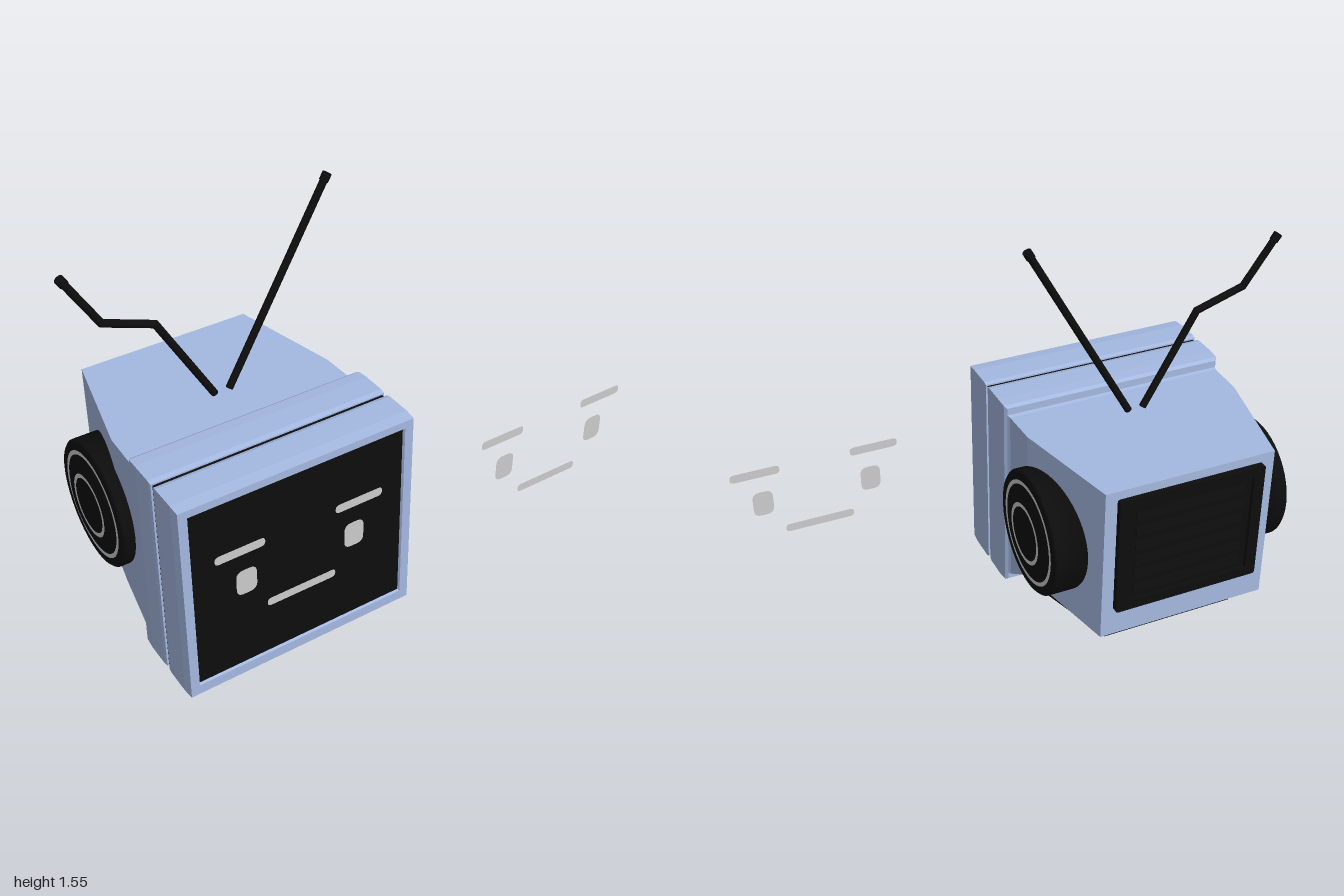
import * as THREE from 'three';

const blue = new THREE.MeshStandardMaterial({ color: 0xa4b8e0, flatShading: true });
const black = new THREE.MeshStandardMaterial({ color: 0x0d0d0d });
const grey = new THREE.MeshStandardMaterial({ color: 0xcccccc, side: THREE.DoubleSide });

function add(parent, name, geometry, material, x = 0, y = 0, z = 0) {
  const mesh = new THREE.Mesh(geometry, material);
  mesh.name = name;
  mesh.position.set(x, y, z);
  parent.add(mesh);
  return mesh;
}

// Joins rectangles [z, halfWidth, bottom, top], listed from back to front, and caps both ends
function loft(sections) {
  const rings = sections.map(([z, w, y0, y1]) => [[-w, y0, z], [w, y0, z], [w, y1, z], [-w, y1, z]]);
  const pos = [];
  const quad = (a, b, c, d) => pos.push(...a, ...b, ...c, ...a, ...c, ...d);
  for (let i = 0; i < rings.length - 1; i++) {
    for (let k = 0; k < 4; k++) {
      const n = (k + 1) % 4;
      quad(rings[i][k], rings[i][n], rings[i + 1][n], rings[i + 1][k]);
    }
  }
  const first = rings[0], last = rings[rings.length - 1];
  quad(first[3], first[2], first[1], first[0]);
  quad(last[0], last[1], last[2], last[3]);
  const geometry = new THREE.BufferGeometry();
  geometry.setAttribute('position', new THREE.Float32BufferAttribute(pos, 3));
  geometry.computeVertexNormals();
  return geometry;
}

function roundedRect(w, h, r, Type = THREE.Shape) {
  const s = new Type(), x = w / 2, y = h / 2;
  s.moveTo(-x + r, -y);
  s.lineTo(x - r, -y);
  s.quadraticCurveTo(x, -y, x, -y + r);
  s.lineTo(x, y - r);
  s.quadraticCurveTo(x, y, x - r, y);
  s.lineTo(-x + r, y);
  s.quadraticCurveTo(-x, y, -x, y - r);
  s.lineTo(-x, -y + r);
  s.quadraticCurveTo(-x, -y, -x + r, -y);
  return s;
}

// Flat brows, eyes and mouth
function makeFace(name) {
  const face = new THREE.Group();
  face.name = name;
  for (const side of [-1, 1]) {
    add(face, 'brow', new THREE.ShapeGeometry(roundedRect(0.193, 0.036, 0.017)), grey, side * 0.237, 0.563);
    add(face, 'eye', new THREE.ShapeGeometry(roundedRect(0.08, 0.107, 0.03)), grey, side * 0.217, 0.423);
  }
  add(face, 'mouth', new THREE.ShapeGeometry(roundedRect(0.278, 0.034, 0.016)), grey, 0, 0.28);
  return face;
}

// Round side speaker with its axis along +y, turned outwards by the caller
function makeSpeaker() {
  const speaker = new THREE.Group();
  speaker.name = 'speaker';
  const profile = [[0, 0.35], [0.243, 0.35], [0.243, 0.478], [0.234, 0.4875],
    [0.16, 0.4875], [0.157, 0.5], [0, 0.5]].map(([r, y]) => new THREE.Vector2(r, y));
  add(speaker, 'speakerHousing', new THREE.LatheGeometry(profile, 48), black);
  for (const [radius, height] of [[0.205, 0.4885], [0.121, 0.501]]) {
    const ring = new THREE.RingGeometry(radius - 0.016, radius, 48).rotateX(-Math.PI / 2);
    add(speaker, 'speakerRing', ring, grey, 0, height);
  }
  return speaker;
}

function rod(parent, name, from, to, radius) {
  const dir = to.clone().sub(from);
  const mesh = add(parent, name, new THREE.CylinderGeometry(radius, radius, dir.length(), 12), black);
  mesh.position.copy(from).addScaledVector(dir, 0.5);
  mesh.quaternion.setFromUnitVectors(new THREE.Vector3(0, 1, 0), dir.normalize());
}

// Straight rods joined by balls, ending in a small thicker tip
function makeAntenna(name, coords) {
  const antenna = new THREE.Group();
  antenna.name = name;
  const points = coords.map((c) => new THREE.Vector3(...c));
  for (let i = 0; i < points.length - 1; i++) {
    rod(antenna, 'antennaRod', points[i], points[i + 1], 0.014);
    if (i > 0) add(antenna, 'antennaJoint', new THREE.SphereGeometry(0.0145, 12, 8), black, ...points[i].toArray());
  }
  const end = points[points.length - 1];
  const dir = end.clone().sub(points[points.length - 2]).normalize();
  rod(antenna, 'antennaTip', end.clone().addScaledVector(dir, -0.03), end, 0.017);
  return antenna;
}

export function createModel() {
  const model = new THREE.Group();
  const head = new THREE.Group();
  head.name = 'televisionHead';
  head.position.x = -0.4475;
  model.add(head);

  // Casing, tapering to the back, with the sloping lower lip
  add(head, 'casing', loft([
    [-0.462, 0.34, 0.15, 0.79], [-0.02, 0.437, 0.15, 0.79],
    [0.128, 0.442, 0.05, 0.79], [0.15, 0.45, 0.045, 0.795],
  ]), blue);

  // Two-part front frame with a dark groove between the parts
  add(head, 'rearFrame', loft([
    [0.142, 0.447, 0.018, 0.822], [0.155, 0.456, 0.008, 0.83],
    [0.2, 0.458, 0.003, 0.833], [0.29, 0.458, 0.003, 0.833], [0.308, 0.457, 0.006, 0.828],
  ]), blue);
  add(head, 'frameGroove', loft([[0.3, 0.45, 0.012, 0.822], [0.335, 0.45, 0.012, 0.822]]), black);
  add(head, 'frontFrame', loft([
    [0.325, 0.457, 0.006, 0.828], [0.34, 0.458, 0, 0.833], [0.44, 0.458, 0, 0.833],
    [0.485, 0.456, 0.006, 0.828], [0.485, 0.422, 0.046, 0.798], [0.474, 0.418, 0.05, 0.794],
  ]), blue);
  add(head, 'screen', new THREE.PlaneGeometry(0.836, 0.744), black, 0, 0.422, 0.476);

  // The face on the screen, and its floating copy beside the head
  const face = makeFace('screenFace');
  face.position.z = 0.48;
  const floating = makeFace('floatingFace');
  floating.position.set(1.11, 0, 0.48);
  head.add(face, floating);

  // Dark base block under the casing
  add(head, 'base', loft([
    [-0.377, 0.28, 0.14, 0.16], [-0.366, 0.27, 0.052, 0.16], [-0.05, 0.365, 0.05, 0.16],
    [0.03, 0.365, 0.05, 0.16], [0.125, 0.29, 0.05, 0.16],
  ]), black);

  // Back vent: rim, backing and slats
  const vent = new THREE.Group();
  vent.name = 'backVent';
  vent.position.set(0, 0.51, -0.485);
  head.add(vent);
  const rim = roundedRect(0.585, 0.49, 0.012);
  rim.holes.push(roundedRect(0.5, 0.41, 0.01, THREE.Path));
  add(vent, 'ventRim', new THREE.ExtrudeGeometry(rim, { depth: 0.03, bevelEnabled: false }), black);
  add(vent, 'ventBacking', new THREE.BoxGeometry(0.52, 0.43, 0.012), black, 0, 0, 0.021);
  for (let i = 0; i < 6; i++) {
    const slat = add(vent, 'ventSlat', new THREE.BoxGeometry(0.44, 0.035, 0.008), black, 0, -0.16 + i * 0.064, 0.012);
    slat.rotation.x = 0.3;
  }

  // Side speakers
  for (const side of [-1, 1]) {
    const speaker = makeSpeaker();
    speaker.rotation.z = -side * Math.PI / 2;
    speaker.position.set(0, 0.45, -0.137);
    head.add(speaker);
  }

  // One straight and one bent antenna
  model.add(makeAntenna('straightAntenna', [[-0.415, 0.815, -0.035], [0, 1.54, -0.035]]));
  model.add(makeAntenna('bentAntenna', [
    [-0.475, 0.815, -0.035], [-0.68, 1.175, -0.035], [-0.865, 1.24, -0.042], [-0.983, 1.435, -0.06],
  ]));
  return model;
}
